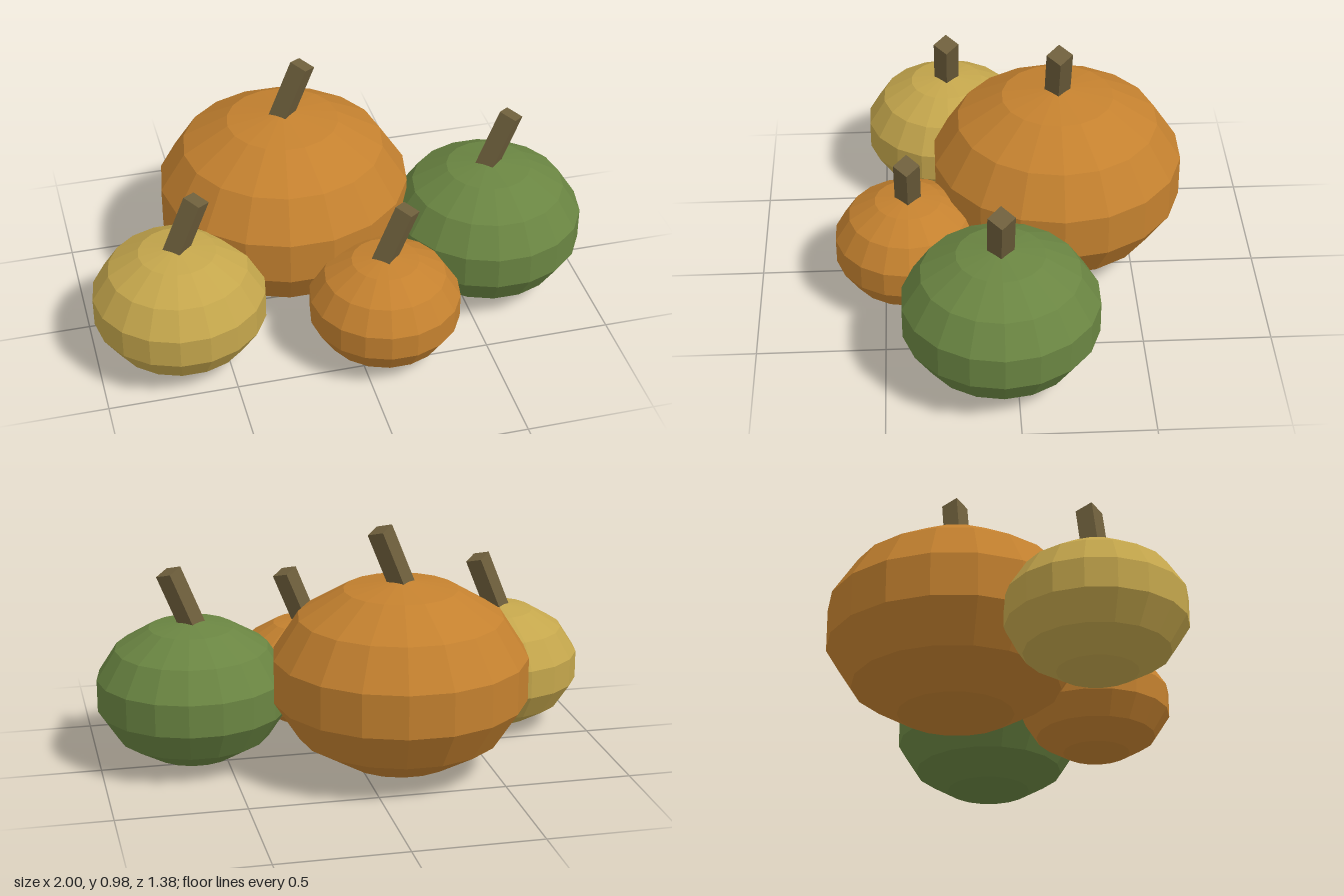
import * as THREE from 'three';

const material = (name, color) => {
  const m = new THREE.MeshStandardMaterial({ color, flatShading: true });
  m.name = name;
  return m;
};

export function createModel() {
  const orange = material('orange', 0xc4812f);
  const yellow = material('yellow', 0xc4a64c);
  const green = material('green', 0x6a8542);
  const brown = material('stem brown', 0x6e5f3c);

  // Squashed low-poly body, 18 sides and 7 rows
  const bodyGeometry = new THREE.SphereGeometry(1, 18, 7);
  // Four-sided stem whose origin is the centre of its top end
  const stemLength = 0.25;
  const stemGeometry = new THREE.CylinderGeometry(0.051, 0.051, stemLength, 4);
  stemGeometry.translate(0, -stemLength / 2, 0);

  const model = new THREE.Group();
  model.name = 'pumpkinPatch';

  const addPumpkin = (name, x, z, radius, halfHeight, skin) => {
    const pumpkin = new THREE.Group();
    pumpkin.name = name;
    pumpkin.position.set(x, 0, z);

    const body = new THREE.Mesh(bodyGeometry, skin);
    body.name = 'body';
    body.scale.set(radius, halfHeight, radius);
    body.position.y = halfHeight;

    // Stem leans towards +x and sinks into the crown
    const stem = new THREE.Mesh(stemGeometry, brown);
    stem.name = 'stem';
    stem.position.set(0.083, halfHeight * 2 + 0.198, 0);
    stem.rotation.z = -0.38;

    pumpkin.add(body, stem);
    model.add(pumpkin);
  };

  addPumpkin('largeOrangePumpkin', -0.152, -0.2, 0.51, 0.383, orange);
  addPumpkin('greenPumpkin', 0.624, 0.06, 0.385, 0.288, green);
  addPumpkin('yellowPumpkin', -0.665, 0.23, 0.343, 0.256, yellow);
  addPumpkin('smallOrangePumpkin', 0.107, 0.4, 0.3, 0.225, orange);

  return model;
}
